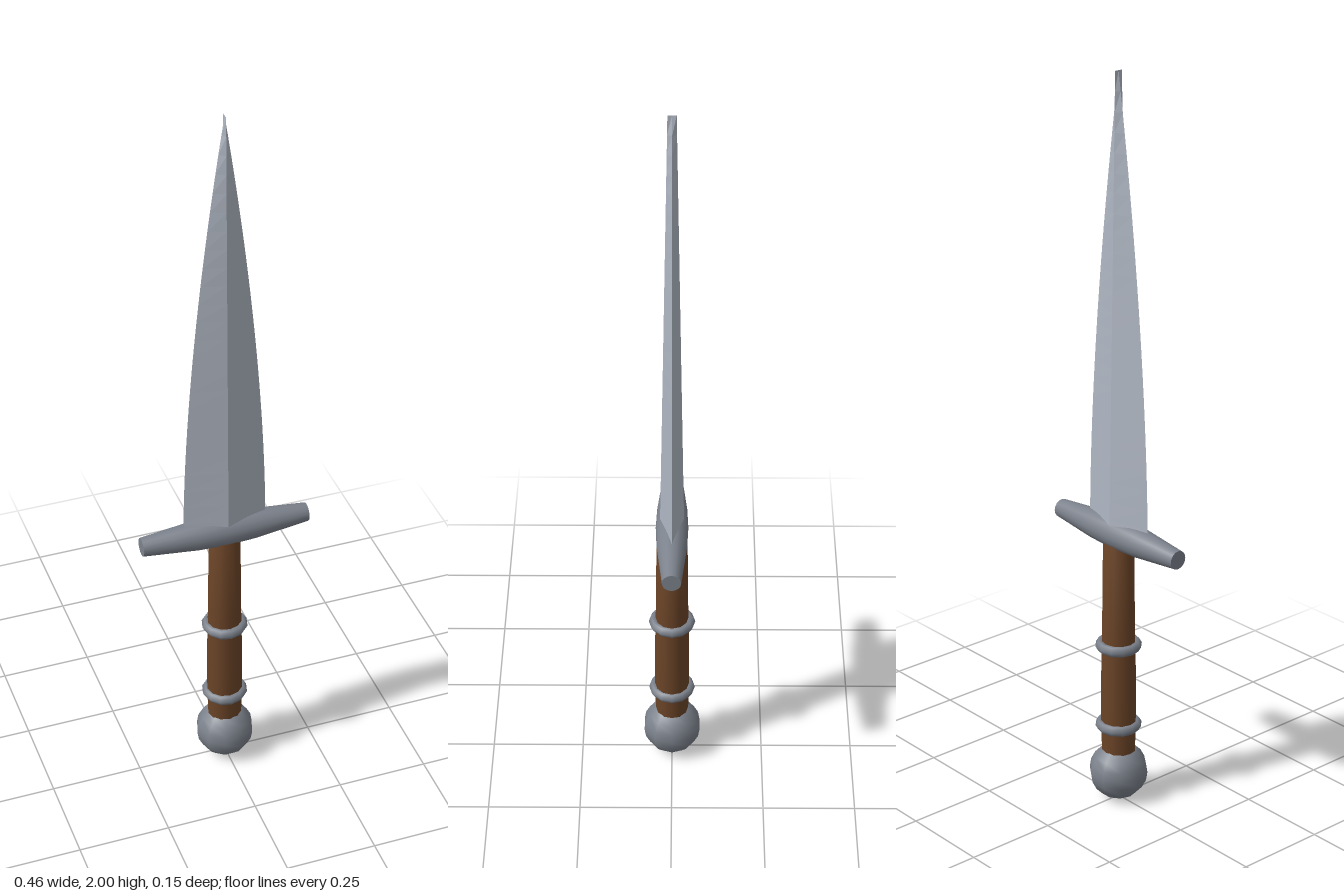
import * as THREE from 'three';

const material = (color, extra = {}) => new THREE.MeshStandardMaterial({ color, ...extra });
const points = (list) => list.map(([r, y]) => new THREE.Vector2(r, y));

// Diamond cross-sections that narrow along a curve to a thin upright edge
function bladeGeometry(y0, y1, steps) {
  const rings = [];
  for (let i = 0; i <= steps; i++) {
    const t = i / steps;
    const w = 0.114 * (1 - Math.pow(t, 1.7));
    const d = 0.032 - 0.021 * t;
    const y = y0 + (y1 - y0) * t;
    rings.push([[w, y, 0], [0, y, d], [-w, y, 0], [0, y, -d]]);
  }
  const pos = [];
  const quad = (a, b, c, d) => pos.push(...a, ...b, ...c, ...a, ...c, ...d);
  for (let i = 0; i < steps; i++) {
    for (let j = 0; j < 4; j++) {
      const k = (j + 1) % 4;
      quad(rings[i][k], rings[i][j], rings[i + 1][j], rings[i + 1][k]);
    }
  }
  quad(...rings[0]); // closed base
  const geo = new THREE.BufferGeometry();
  geo.setAttribute('position', new THREE.Float32BufferAttribute(pos, 3));
  geo.computeVertexNormals();
  return geo;
}

export function createModel() {
  const model = new THREE.Group();
  model.name = 'dagger';
  const steel = material(0xb0b7c3, { flatShading: true });
  const iron = material(0x7c828c);
  const leather = material(0x6b4427);

  const add = (name, geometry, mat, y = 0) => {
    const mesh = new THREE.Mesh(geometry, mat);
    mesh.name = name;
    mesh.position.y = y;
    model.add(mesh);
    return mesh;
  };

  // Blade
  steel.side = THREE.DoubleSide;
  add('blade', bladeGeometry(0.77, 2, 24), steel);

  // Crossguard: a barrel lying along x, with flat end caps
  const half = [[0.025, 0.23], [0.033, 0.15], [0.04, 0.08], [0.043, 0]];
  const profile = [...half.slice(0, 3).map(([r, y]) => [r, -y]), ...half.slice().reverse()];
  const guard = new THREE.Group();
  guard.name = 'crossguard';
  guard.rotation.z = -Math.PI / 2;
  guard.position.y = 0.775;
  const bar = new THREE.Mesh(new THREE.LatheGeometry(points(profile), 16), iron);
  bar.name = 'guardBar';
  guard.add(bar);
  for (const s of [-1, 1]) {
    const cap = new THREE.Mesh(new THREE.CircleGeometry(0.025, 16), iron);
    cap.name = 'guardEnd';
    cap.rotation.x = -s * Math.PI / 2;
    cap.position.y = s * 0.23;
    guard.add(cap);
  }
  model.add(guard);

  // Grip, slightly swollen in its lower half
  const grip = [[0.046, 0.1], [0.049, 0.22], [0.049, 0.36], [0.046, 0.5], [0.043, 0.75], [0, 0.75]];
  const handle = add('grip', new THREE.LatheGeometry(points(grip), 12), leather);
  handle.rotation.y = Math.PI / 2;
  handle.scale.x = 0.95;

  // Grip rings
  for (const y of [0.22, 0.455]) {
    const ring = new THREE.TorusGeometry(0.048, 0.015, 6, 12).rotateX(Math.PI / 2);
    add('gripRing', ring, iron, y);
  }

  // Pommel
  add('pommel', new THREE.SphereGeometry(0.08, 10, 10), iron, 0.08);

  return model;
}
